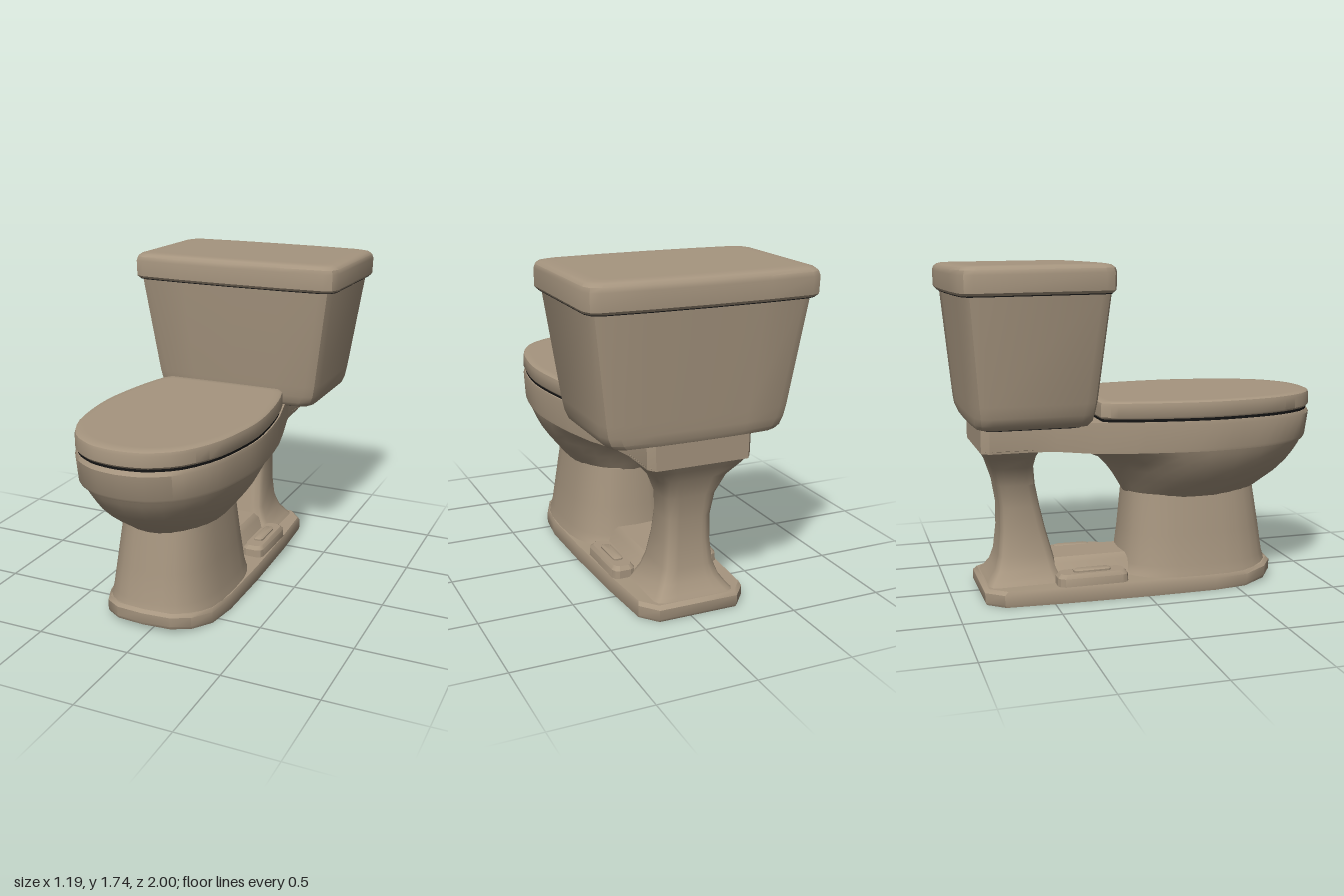
import * as THREE from 'three';
import { toCreasedNormals } from 'three/addons/utils/BufferGeometryUtils.js';

const ceramic = new THREE.MeshStandardMaterial({ color: 0xa6957f });
ceramic.name = 'taupe ceramic';
const black = new THREE.MeshStandardMaterial({ color: 0x141414 });
black.name = 'black gap';

// Mirror a half outline (front centre -> +x side -> back centre) into a full loop.
const mirror = (half) => half.concat(half.slice(1, -1).reverse().map(([x, z]) => [-x, z]));

// Place a plan outline at height y (number or function of z), scaled about depth cz.
function ring(outline, y, s = 1, cz = 0.3) {
  return outline.map(([x, z]) => {
    const zz = cz + (z - cz) * s;
    return [x * s, typeof y === 'function' ? y(zz) : y, zz];
  });
}

// Egg-shaped plan with its own front and back reach.
function egg(front, back, w, cz, n = 2, segs = 28) {
  return Array.from({ length: segs }, (_, i) => {
    const t = (i / segs) * Math.PI * 2, c = Math.cos(t), s = Math.sin(t);
    const p = (v) => Math.sign(v) * Math.pow(Math.abs(v), 2 / n);
    return [w * p(s), cz + (c > 0 ? front - cz : cz - back) * p(c)];
  });
}

// Rectangle with rounded corners and slightly bowed front and back.
function roundRect(front, back, w, c, bow = 0) {
  const k = c * 0.3;
  return mirror([
    [0, front + bow], [w / 2, front + bow * 0.75], [w - c, front], [w - k, front - k], [w, front - c],
    [w, back + c], [w - k, back + k], [w - c, back], [w / 2, back - bow * 0.75], [0, back - bow],
  ]);
}

// Skin stacked rings, bottom to top, and cap both ends.
function loft(name, rings, crease = 0.6, material = ceramic) {
  const pos = [], n = rings[0].length;
  const mid = (r) => [0, 1, 2].map((k) => r.reduce((a, p) => a + p[k], 0) / n);
  const bottom = rings[0], top = rings[rings.length - 1];
  const b0 = mid(bottom), t0 = mid(top);
  for (let i = 0; i < n; i++) {
    const j = (i + 1) % n;
    for (let k = 0; k < rings.length - 1; k++) {
      const lo = rings[k], hi = rings[k + 1];
      pos.push(...lo[i], ...lo[j], ...hi[j], ...lo[i], ...hi[j], ...hi[i]);
    }
    pos.push(...b0, ...bottom[j], ...bottom[i], ...t0, ...top[i], ...top[j]);
  }
  const geo = new THREE.BufferGeometry();
  geo.setAttribute('position', new THREE.Float32BufferAttribute(pos, 3));
  const mesh = new THREE.Mesh(toCreasedNormals(geo, crease), material);
  mesh.name = name;
  return mesh;
}

// Smooth the curved front of a half outline, keep the straight tail.
function smoothHalf(curved, tail) {
  const curve = new THREE.SplineCurve(curved.map(([x, z]) => new THREE.Vector2(x, z)));
  return mirror(curve.getPoints(24).map((p) => [p.x, p.y]).concat(tail));
}

export function createModel() {
  const model = new THREE.Group();
  model.name = 'toilet';
  const stand = new THREE.Group();
  stand.name = 'bowlAndBase';
  stand.position.x = -0.04;
  model.add(stand);

  // Foot plate, lifted slightly under the toe
  const foot = mirror([[0, 0.77], [0.15, 0.755], [0.24, 0.69], [0.3, 0.56], [0.325, 0.38], [0.325, 0],
    [0.31, -0.45], [0.29, -0.76], [0.215, -0.85], [0, -0.85]]);
  const toe = (z) => Math.max(0, z - 0.58) * 0.15;
  stand.add(loft('footPlate', [
    ring(foot, toe, 0.99, 0), ring(foot, (z) => 0.015 + toe(z), 1, 0),
    ring(foot, (z) => 0.065 + toe(z), 1, 0), ring(foot, (z) => 0.083 + toe(z), 0.975, 0),
  ]));

  // Front column
  stand.add(loft('frontColumn', [
    [0.06, 0.765, -0.13, 0.318], [0.1, 0.75, -0.1, 0.308], [0.14, 0.738, -0.09, 0.298],
    [0.3, 0.715, -0.07, 0.275], [0.52, 0.68, -0.05, 0.245],
  ].map(([y, f, b, w]) => ring(egg(f, b, w, 0.3, 2.7), y))));

  // Bowl belly
  stand.add(loft('bowl', [
    [0.505, 0.68, -0.05, 0.25], [0.55, 0.745, -0.075, 0.29], [0.6, 0.82, -0.105, 0.33],
    [0.66, 0.885, -0.15, 0.372], [0.71, 0.925, -0.2, 0.398], [0.755, 0.955, -0.31, 0.418],
    [0.8, 0.978, -0.52, 0.43],
  ].map(([y, f, b, w]) => ring(egg(f, b, w, 0.3, 2.15), y))));

  // Dark opening under the back of the bowl
  const opening = new THREE.Mesh(new THREE.CylinderGeometry(0.05, 0.05, 0.009, 20), black);
  opening.name = 'bowlOpening';
  const normal = new THREE.Vector3(0.238, -0.893, -0.382).normalize();
  opening.quaternion.setFromUnitVectors(new THREE.Vector3(0, 1, 0), normal);
  opening.position.set(0.19, 0.725, -0.185).addScaledVector(normal, 0.006);
  stand.add(opening);

  // Rim running back into the tank shelf
  const curved = [[0, 1], [0.08, 0.992], [0.17, 0.963], [0.29, 0.87], [0.385, 0.69], [0.43, 0.48], [0.445, 0.3],
    [0.43, 0.1], [0.4, -0.09]];
  const rim = smoothHalf(curved, [[0.355, -0.27], [0.3, -0.48], [0.28, -0.6], [0.28, -0.82], [0.25, -0.86],
    [0, -0.86]]);
  const under = (z) => 0.785 + (z < -0.4 ? 0.013 : 0);
  stand.add(loft('rimAndShelf', [
    ring(rim, under, 0.985, -0.86), ring(rim, (z) => under(z) + 0.015, 0.99, -0.86),
    ring(rim, 0.925, 1), ring(rim, 0.945, 0.993, -0.86), ring(rim, 0.945, 0.95, -0.86),
  ]));

  // Dark gap between rim and closed lid
  const cover = smoothHalf(curved.concat([[0.365, -0.22]]), [[0.335, -0.265], [0, -0.27]]);
  stand.add(loft('seatGap', [ring(cover, 0.943, 0.978), ring(cover, 0.9625, 0.978)], 0.6, black));
  stand.add(loft('seatLid', [
    ring(cover, 0.96, 0.985), ring(cover, 0.97, 0.998), ring(cover, 1.025, 0.998),
    ring(cover, 1.041, 0.99), ring(cover, 1.048, 0.965), ring(cover, 1.048, 0.9),
  ]));

  // Waisted rear pillar: height, front z, back z, half width
  stand.add(loft('rearPillar', [
    [0.07, -0.42, -0.83, 0.23], [0.1, -0.44, -0.81, 0.2], [0.15, -0.455, -0.775, 0.165],
    [0.22, -0.47, -0.755, 0.14], [0.35, -0.505, -0.742, 0.127], [0.48, -0.535, -0.742, 0.125],
    [0.6, -0.56, -0.76, 0.14], [0.7, -0.575, -0.79, 0.185], [0.76, -0.572, -0.825, 0.24],
    [0.81, -0.55, -0.855, 0.278],
  ].map(([y, f, b, w]) => ring(roundRect(f, b, w, 0.045), y)), 0.8));

  // Low ridge joining column and pillar
  stand.add(loft('footRidge', [
    [0.07, 0.21], [0.1, 0.165], [0.165, 0.135], [0.19, 0.105],
  ].map(([y, w]) => ring(roundRect(0, -0.52, w, 0.03), y))));

  // Floor bolt covers on both sides
  for (const side of [-1, 1]) {
    const cap = loft('boltCover', [
      [0.07, 0.19, 0.065], [0.125, 0.188, 0.062], [0.145, 0.172, 0.048],
    ].map(([y, d, w]) => ring(roundRect(d, -d, w, 0.035), y, 1, 0)));
    const button = loft('boltCoverButton', [
      [0.14, 0.1, 0.027], [0.154, 0.1, 0.027], [0.159, 0.09, 0.02],
    ].map(([y, d, w]) => ring(roundRect(d, -d, w, 0.018), y, 1, 0)));
    for (const m of [cap, button]) {
      m.position.set(side * 0.238, 0, -0.29);
      stand.add(m);
    }
  }

  // Tapered tank
  const tank = new THREE.Group();
  tank.name = 'tank';
  model.add(tank);
  tank.add(loft('tankBody', [
    [0.93, -0.345, -0.87, 0.4, 0.06], [0.938, -0.325, -0.89, 0.44, 0.07], [0.96, -0.31, -0.9, 0.465, 0.075],
    [1.0, -0.302, -0.905, 0.482, 0.075], [1.06, -0.293, -0.91, 0.492, 0.07], [1.61, -0.24, -0.955, 0.566, 0.06],
  ].map(([y, f, b, w, c]) => ring(roundRect(f, b, w, c, 0.012), y))));

  // Dark gasket beneath the tank, showing beside the shelf
  const gasket = roundRect(-0.36, -0.855, 0.385, 0.05);
  tank.add(loft('tankGasket', [ring(gasket, 0.924), ring(gasket, 0.931)], 0.6, black));

  // Tank lid, sloping very slightly to the back, with a dark underside
  const tilt = (y) => (z) => y + (z + 0.2) * 0.012;
  const lidRing = ([y, d]) => ring(roundRect(-0.222 - d, -0.985 + d, 0.597 - d, 0.065, 0.017), tilt(y));
  tank.add(loft('tankLid', [
    [1.602, 0.012], [1.615, 0.002], [1.7, 0], [1.722, 0.006], [1.736, 0.022], [1.742, 0.045], [1.742, 0.09],
  ].map(lidRing)));
  tank.add(loft('tankLidUnderside', [[1.597, 0.016], [1.603, 0.016]].map(lidRing), 0.6, black));

  return model;
}
